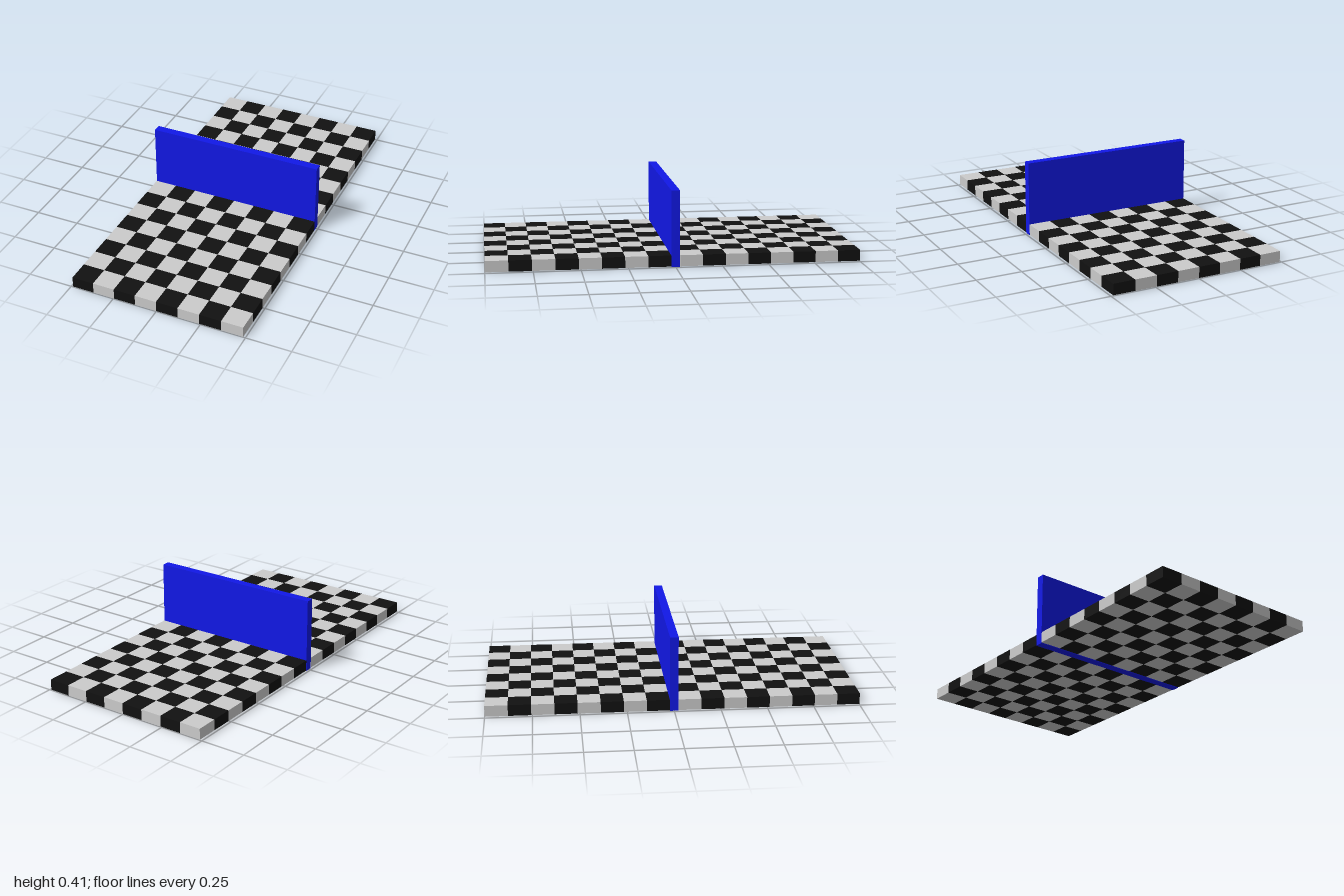
import * as THREE from 'three';
import { mergeGeometries } from 'three/addons/utils/BufferGeometryUtils.js';

const TILE = 0.122, TILE_HEIGHT = 0.06, COLS = 8, ROWS = 8;
const GAP = 0.024; // distance from the centre line to each board
const LIFT = 0.003; // underside of the boards
const WALL_HEIGHT = 0.41, WALL_DEPTH = 0.045;

export function createModel() {
  const model = new THREE.Group();
  const light = new THREE.MeshStandardMaterial({ color: 0xcccccc });
  const dark = new THREE.MeshStandardMaterial({ color: 0x111111 });
  const blue = new THREE.MeshStandardMaterial({ color: 0x1118e7 });

  // One chequered board of square tiles, its back edge at z0
  function board(name, z0) {
    const tiles = [[], []];
    for (let row = 0; row < ROWS; row++) {
      for (let col = 0; col < COLS; col++) {
        const tile = new THREE.BoxGeometry(TILE, TILE_HEIGHT, TILE);
        tile.translate((col + 0.5 - COLS / 2) * TILE, LIFT + TILE_HEIGHT / 2, z0 + (row + 0.5) * TILE);
        tiles[(row + col) % 2].push(tile);
      }
    }
    const group = new THREE.Group();
    group.name = name;
    [light, dark].forEach((material, i) => {
      const mesh = new THREE.Mesh(mergeGeometries(tiles[i]), material);
      mesh.name = i ? 'darkTiles' : 'lightTiles';
      group.add(mesh);
    });
    model.add(group);
  }
  board('backBoard', -GAP - ROWS * TILE);
  board('frontBoard', GAP);

  // Upright divider between the two boards
  const wall = new THREE.Mesh(new THREE.BoxGeometry(COLS * TILE, WALL_HEIGHT, WALL_DEPTH), blue);
  wall.name = 'dividerWall';
  wall.position.y = WALL_HEIGHT / 2;
  model.add(wall);

  return model;
}
